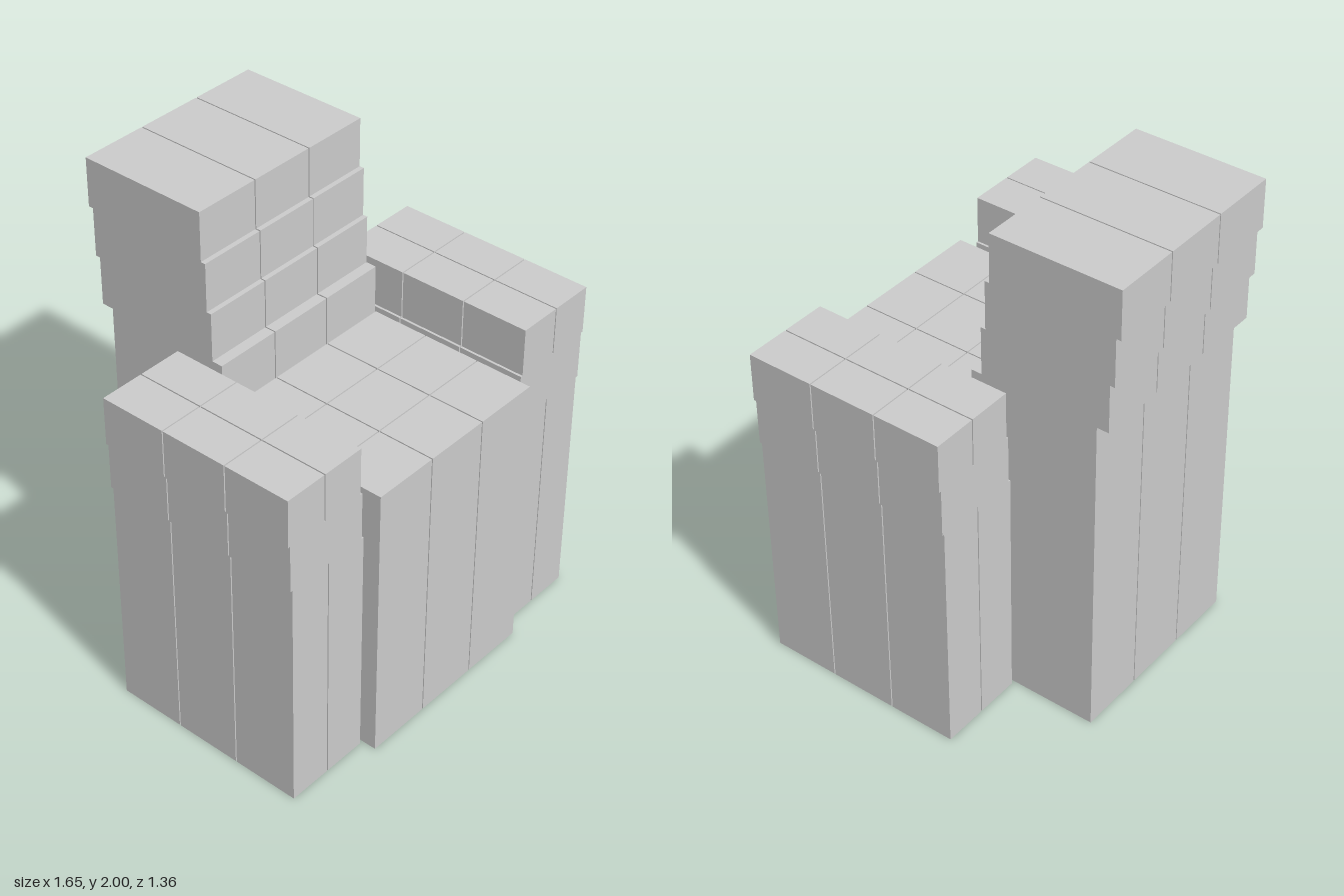
import * as THREE from 'three';

const GAP = 0.005;
const stone = new THREE.MeshStandardMaterial({ color: 0xcccccc, flatShading: true });

// A course of nx by nz blocks filling the given bounds, with hairline joints.
function course(name, [x0, x1], [y0, y1], [z0, z1], nx, nz) {
  const group = new THREE.Group();
  group.name = name;
  const w = (x1 - x0 - GAP * (nx - 1)) / nx;
  const d = (z1 - z0 - GAP * (nz - 1)) / nz;
  const block = new THREE.BoxGeometry(w, y1 - y0, d);
  for (let i = 0; i < nx; i++) {
    for (let j = 0; j < nz; j++) {
      const mesh = new THREE.Mesh(block, stone);
      mesh.name = name + 'Block';
      mesh.position.set(x0 + w / 2 + i * (w + GAP), (y0 + y1) / 2, z0 + d / 2 + j * (d + GAP));
      group.add(mesh);
    }
  }
  return group;
}

export function createModel() {
  const model = new THREE.Group();
  model.name = 'blockThrone';
  const seatX = [-0.42, 0.42];

  // Seat and the tall pillars of the backrest
  model.add(course('seat', seatX, [0, 1.2], [-0.05 + GAP, 0.68], 3, 3));
  model.add(course('backrestBase', seatX, [0, 1.4], [-0.59, -0.05], 3, 1));

  // Upper backrest courses, each stepped further back
  [-0.095, -0.115, -0.135].forEach((front, i) => {
    const y = 1.4 + i * 0.2;
    model.add(course('backrestCourse', seatX, [y, y + 0.2], [front - 0.545, front], 3, 1));
  });

  // Armrests: tall base and two courses stepping outwards
  const armZ = [-0.23, 0.62];
  for (const side of [-1, 1]) {
    const arm = new THREE.Group();
    arm.name = side > 0 ? 'leftArmrest' : 'rightArmrest';
    const span = (a, b) => (side > 0 ? [a, b] : [-b, -a]);
    arm.add(course('armBase', span(0.435, 0.805), [0, 1], armZ, 2, 3));
    arm.add(course('armCourse', span(0.445, 0.815), [1, 1.2], armZ, 1, 3));
    arm.add(course('armTop', span(0.455, 0.825), [1.2, 1.4], armZ, 2, 3));
    model.add(arm);
  }
  return model;
}
